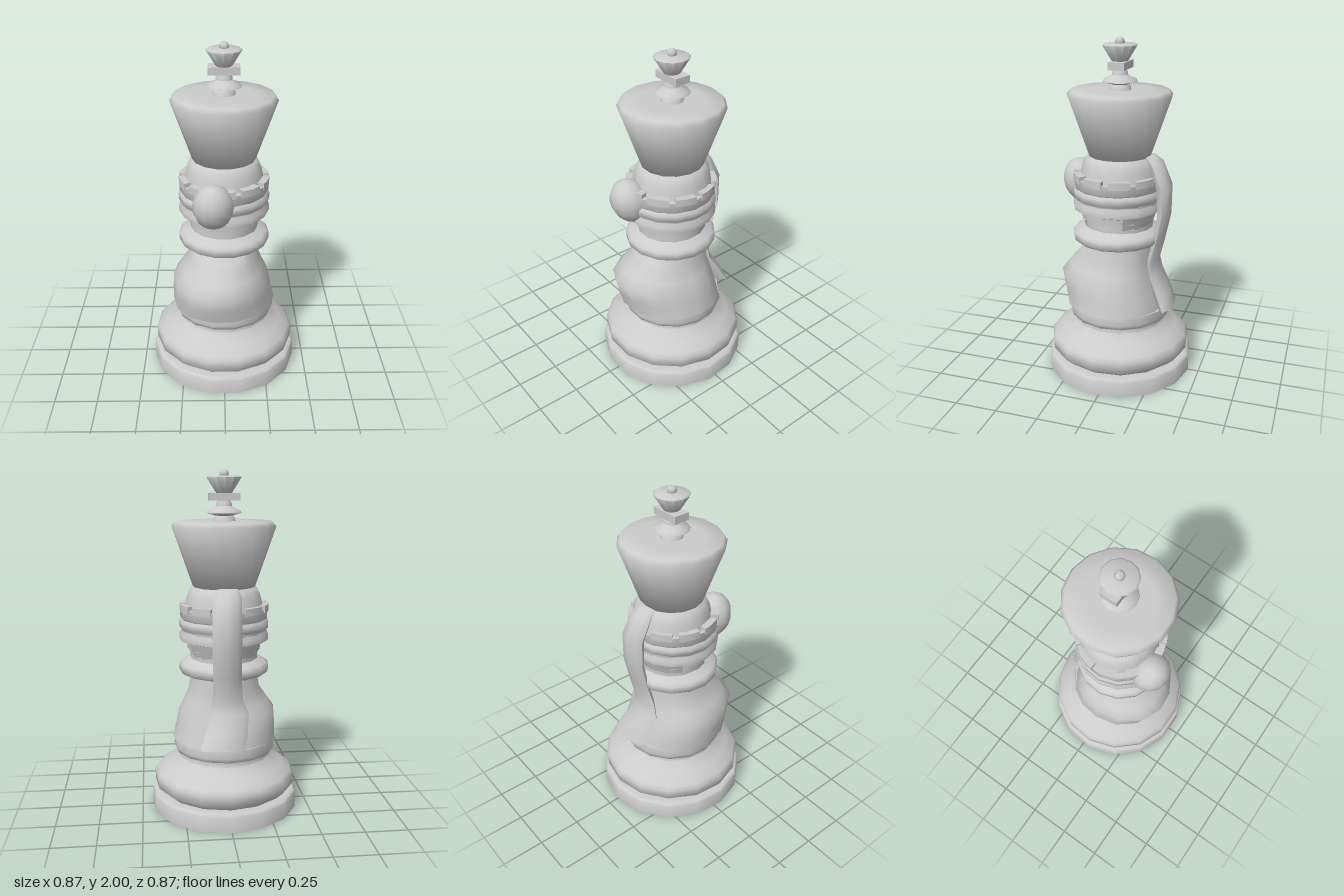
import * as THREE from 'three';
import { toCreasedNormals, mergeVertices } from 'three/addons/utils/BufferGeometryUtils.js';

const SIDES = 15;
const material = new THREE.MeshStandardMaterial({ color: 0xcccccc, side: THREE.DoubleSide });

export function createModel() {
  const group = new THREE.Group();

  const add = (name, geometry, crease = 1.0) => {
    const mesh = new THREE.Mesh(toCreasedNormals(geometry, crease), material);
    mesh.name = name;
    group.add(mesh);
    return mesh;
  };

  // Turned part from [radius, y] pairs, with a corner pointing to the back
  const turned = (profile, sides = SIDES, start = Math.PI, sweep = Math.PI * 2) =>
    new THREE.LatheGeometry(profile.map(([r, y]) => new THREE.Vector2(r, y)), sides, start, sweep)
      .translate(0, 0, 0.004);

  // Closed skin through rings of points, listed from the bottom up
  const loft = (rings) => {
    const n = rings[0].length;
    const index = [];
    for (let i = 0; i < rings.length - 1; i++) {
      for (let j = 0; j < n; j++) {
        const k = (j + 1) % n, a = i * n, b = a + n;
        index.push(a + j, a + k, b + k, a + j, b + k, b + j);
      }
    }
    const top = (rings.length - 1) * n;
    for (let j = 1; j < n - 1; j++) index.push(0, j + 1, j, top, top + j, top + j + 1);
    const g = new THREE.BufferGeometry();
    g.setAttribute('position', new THREE.Float32BufferAttribute(rings.flat(2), 3));
    g.setIndex(index);
    return mergeVertices(g);
  };

  // Hollow stepped base
  add('base', turned([
    [0.415, 0], [0.439, 0], [0.439, 0.09], [0.43, 0.103], [0.415, 0.107], [0.374, 0.108],
    [0.42, 0.15], [0.423, 0.21], [0.407, 0.232], [0.35, 0.275], [0.277, 0.325], [0.277, 0.355],
    [0.295, 0.36], [0.303, 0.385], [0.295, 0.43], [0, 0.43],
  ]));

  // Torso, fuller at the front and at its right shoulder: [y, centre x, half width, front z, back z]
  const torso = [
    [0.43, 0, 0.309, 0.328, -0.275], [0.51, -0.01, 0.298, 0.348, -0.255],
    [0.6, -0.015, 0.287, 0.368, -0.225], [0.66, -0.01, 0.25, 0.32, -0.208],
    [0.73, 0, 0.212, 0.258, -0.198], [0.83, 0, 0.198, 0.198, -0.196],
  ];
  add('torso', loft(torso.map(([y, x, w, front, back]) =>
    Array.from({ length: SIDES }, (_, j) => {
      const a = Math.PI + (j / SIDES) * Math.PI * 2;
      const s = Math.sin(a), c = Math.cos(a);
      const swell = s < 0 && c > 0 && y < 0.8 ? 1 - 0.12 * s * c : 1;
      return [x + w * s * swell, y, (c > 0 ? front : -back) * c * swell];
    }))), 1.2);

  // Collar and neck
  add('collar', turned([
    [0.19, 0.81], [0.25, 0.828], [0.264, 0.84], [0.266, 0.88], [0.25, 0.893], [0.2, 0.922],
  ])).position.z = 0.012;
  add('neck', turned([[0.198, 0.8], [0.198, 0.98]]));

  // Ringed head and its dome
  add('head', turned([
    [0.19, 0.965], [0.215, 0.97], [0.217, 1.01], [0.235, 1.02], [0.262, 1.028],
    [0.264, 1.06], [0.25, 1.08], [0.25, 1.09], [0.262, 1.1], [0.264, 1.135],
    [0.25, 1.15], [0.256, 1.158], [0.258, 1.215], [0.225, 1.215],
  ])).position.z = 0.012;
  add('headDome', turned([
    [0.235, 1.2], [0.226, 1.24], [0.215, 1.29], [0.197, 1.325], [0.17, 1.345], [0, 1.345],
  ]));

  // Battlement teeth around the head
  const teeth = 10;
  const step = (Math.PI * 2) / teeth;
  for (let i = 0; i < teeth; i++) {
    const from = (i + 0.12) * step, to = (i + 0.88) * step;
    const sector = new THREE.Shape()
      .absarc(0, 0, 0.26, from, to, false)
      .absarc(0, 0, 0.215, to, from, true);
    const tooth = new THREE.ExtrudeGeometry(sector, { depth: 0.042, bevelEnabled: false, curveSegments: 3 });
    add('battlement', tooth.rotateX(-Math.PI / 2)).position.set(0, 1.197, 0.014);
  }

  // Smooth hair behind the neck
  add('backHair', turned([[0.194, 0.93], [0.217, 1.0], [0.24, 1.06], [0.242, 1.13], [0.235, 1.2]],
    6, Math.PI * 0.62, Math.PI * 0.76));

  // Round nose, set slightly to one side
  const nose = new THREE.SphereGeometry(1, 12, 10);
  nose.scale(0.117, 0.135, 0.115);
  const p = nose.attributes.position;
  for (let i = 0; i < p.count; i++) p.setZ(i, p.getZ(i) + p.getY(i) * 0.12);
  add('nose', nose, 1.2).position.set(-0.062, 1.147, 0.257);

  // Hanging tail of hair: [y, centre x, centre z, half width, half depth]
  const tail = [
    [0.445, 0.035, -0.305, 0.13, 0.037], [0.52, 0.015, -0.268, 0.122, 0.045],
    [0.63, -0.01, -0.212, 0.11, 0.04], [0.71, 0, -0.203, 0.088, 0.037],
    [0.85, 0.005, -0.238, 0.08, 0.037], [1.0, 0.01, -0.268, 0.083, 0.04],
    [1.17, 0.01, -0.266, 0.083, 0.046], [1.3, 0, -0.21, 0.078, 0.045], [1.345, 0, -0.17, 0.06, 0.03],
  ];
  add('hairTail', loft(tail.map(([y, x, z, w, d]) =>
    Array.from({ length: 8 }, (_, j) => {
      const a = (j / 8) * Math.PI * 2;
      return [x + w * Math.sin(a), y - 0.2 * d * Math.cos(a), z + d * Math.cos(a)];
    }))), 1.0);

  // Flared hat
  add('hat', turned([
    [0, 1.34], [0.182, 1.34], [0.301, 1.685], [0.282, 1.71], [0.18, 1.712], [0, 1.712],
  ]), 1.5);

  // Finial: foot, stem, crossbar, cup and bead
  add('finialFoot', turned([
    [0.065, 1.71], [0.06, 1.73], [0.05, 1.742], [0.1, 1.757], [0.095, 1.768], [0.055, 1.785], [0.04, 1.8],
  ], 12));
  add('finialStem', turned([
    [0.045, 1.78], [0.045, 1.81], [0.037, 1.82], [0.037, 1.87],
  ], 12));
  add('crossbar', new THREE.BoxGeometry(0.175, 0.042, 0.095)).position.y = 1.847;
  add('finialCup', turned([
    [0.04, 1.862], [0.05, 1.875], [0.1, 1.955], [0.09, 1.962], [0, 1.965],
  ], 12), 1.5);
  add('finialBead', new THREE.SphereGeometry(0.027, 10, 8), 1.2).position.set(0, 1.973, 0.004);

  return group;
}
